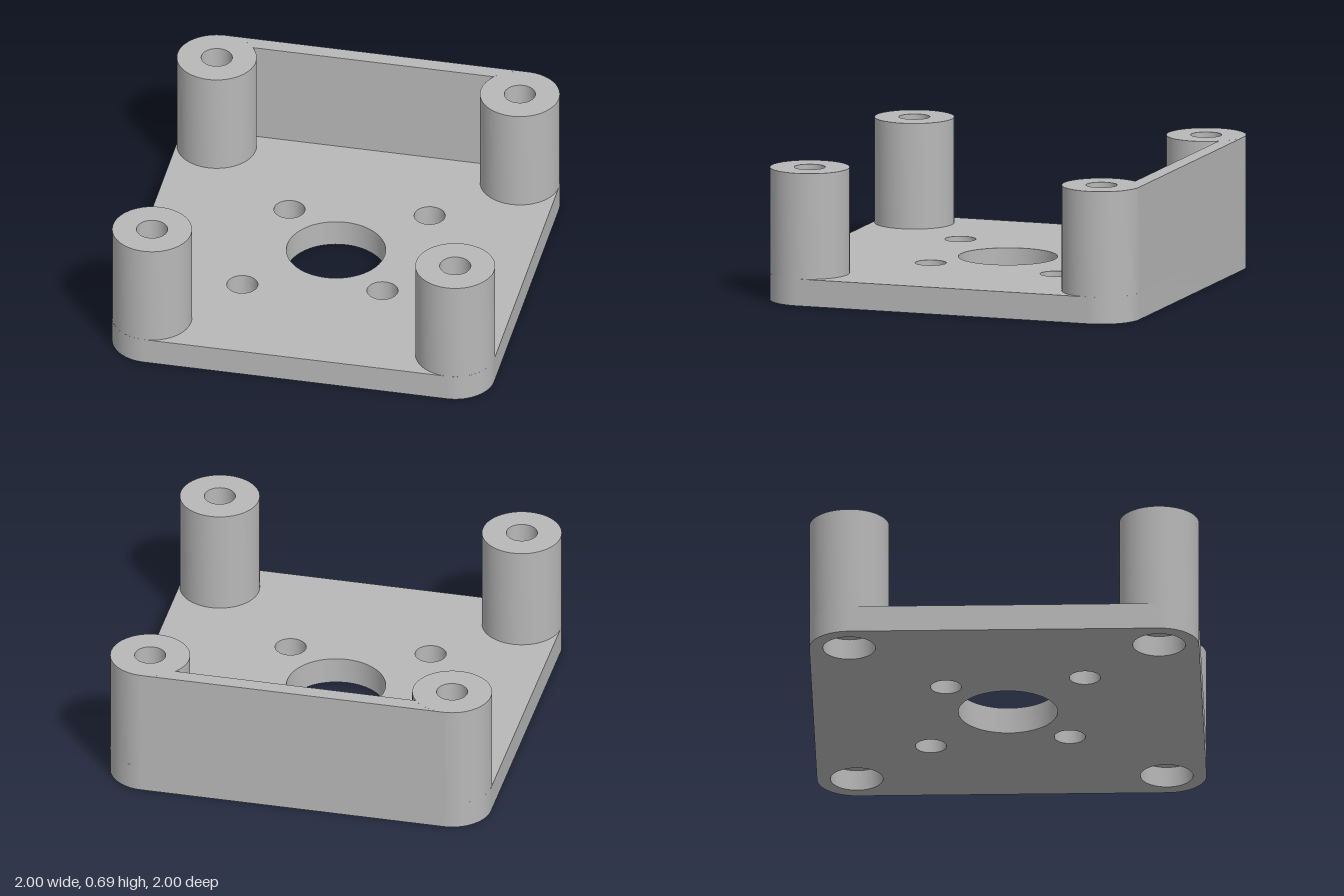
import * as THREE from 'three';
import { toCreasedNormals } from 'three/addons/utils/BufferGeometryUtils.js';

const C = 0.795;       // post centre offset
const R = 0.205;       // post and corner radius
const TOP = 0.69;      // height of posts and wall
const PLATE = 0.14;    // plate thickness
const SCREW = 0.08;    // screw hole radius
const corners = [[C, C], [-C, C], [-C, -C], [C, -C]];

export function createModel() {
  const group = new THREE.Group();
  const gray = new THREE.MeshStandardMaterial({ color: 0xb8b8b8 });
  gray.name = 'matte gray';

  const circle = (Type, x, y, r) => new Type().absarc(x, y, r, 0, Math.PI * 2, false);

  // Extrudes a plan shape (shape y points to the back) between two heights
  function addSlab(name, shape, y0, y1) {
    let geo = new THREE.ExtrudeGeometry(shape, { depth: y1 - y0, bevelEnabled: false, curveSegments: 28 });
    geo = toCreasedNormals(geo, 0.6);
    geo.rotateX(-Math.PI / 2).translate(0, y0, 0);
    const mesh = new THREE.Mesh(geo, gray);
    mesh.name = name;
    group.add(mesh);
  }

  // Rounded square with a central bore, four mounting holes and optional corner holes
  function plateShape(cornerHole) {
    const s = new THREE.Shape();
    corners.forEach(([x, y], i) => s.absarc(x, y, R, i * Math.PI / 2, (i + 1) * Math.PI / 2, false));
    s.closePath();
    s.holes.push(circle(THREE.Path, 0, 0, 0.255));
    for (const [x, y] of [[0.405, 0.405], [-0.405, -0.405], [-0.31, 0.31], [0.31, -0.31]])
      s.holes.push(circle(THREE.Path, x, y, SCREW));
    if (cornerHole) for (const [x, y] of corners) s.holes.push(circle(THREE.Path, x, y, cornerHole));
    return s;
  }

  // Plate: counterbored underside, thin closed web, then the bottoms of the screw holes
  addSlab('plateCounterbores', plateShape(0.135), 0, 0.11);
  addSlab('plateWeb', plateShape(0), 0.11, 0.12);
  addSlab('plateTop', plateShape(SCREW), 0.12, PLATE);

  // Hollow corner posts
  for (const [x, y] of corners) {
    const s = circle(THREE.Shape, x, y, R);
    s.holes.push(circle(THREE.Path, x, y, SCREW));
    addSlab('cornerPost', s, PLATE, TOP);
  }

  // Back wall, its ends following the curve of the posts
  const a = Math.asin((0.92 - C) / R);
  const wall = new THREE.Shape();
  wall.moveTo(-C, 1);
  wall.lineTo(C, 1);
  wall.absarc(C, C, R, Math.PI / 2, Math.PI - a, false);
  wall.absarc(-C, C, R, a, Math.PI / 2, false);
  addSlab('backWall', wall, PLATE, TOP);

  return group;
}
